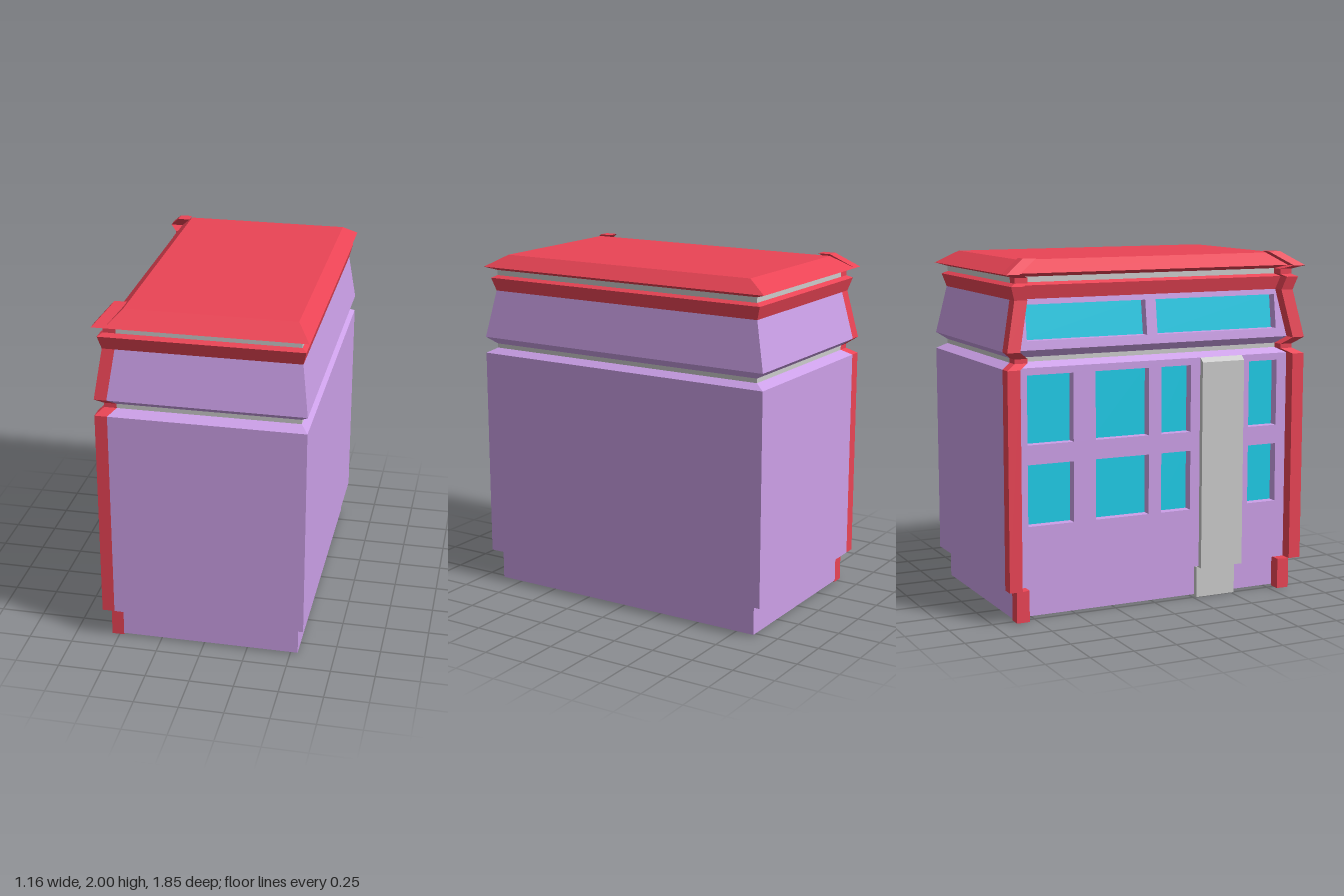
import * as THREE from 'three';

const material = (color) => new THREE.MeshStandardMaterial({ color, flatShading: true, side: THREE.DoubleSide });
const PURPLE = material(0xcca0e8), RED = material(0xea4455), TEAL = material(0x1eccE8), GREY = material(0xcccccc);

const INSET = 0.07;        // facade sits this far behind the corner pilasters
const PILASTER_Z = 0.075;

// Storey profile: height, half width, half depth, then the strip above that height
const LEVELS = [
  [0.01, 0.543, 0.87, 'base', PURPLE],
  [0.18, 0.543, 0.87, 'baseLedge', PURPLE],
  [0.187, 0.58, 0.925, 'mainWall', PURPLE],
  [1.41, 0.58, 0.925, 'lowerSlope', PURPLE],
  [1.44, 0.54, 0.868, 'middleBand', GREY],
  [1.465, 0.54, 0.868, 'upperLedge', PURPLE],
  [1.505, 0.58, 0.925, 'upperWall', PURPLE],
  [1.78, 0.542, 0.866, 'cornice', RED],
  [1.855, 0.56, 0.89, 'corniceTop', RED],
  [1.87, 0.535, 0.86, 'roofBand', GREY],
  [1.9, 0.535, 0.86, 'roofEaves', RED],
  [1.92, 0.58, 0.925, 'roofSlope', RED],
  [1.99, 0.505, 0.8],
];

// Openings in the facade: z0, z1, y0, y1
const COLUMNS = [[-0.785, -0.51], [-0.376, -0.046], [0.033, 0.22], [0.6, 0.786]];
const ROWS = [[0.53, 0.875], [0.985, 1.37]];
const OPENINGS = {
  mainWall: ROWS.flatMap((r) => COLUMNS.map((c) => [...c, ...r])),
  upperWall: [[-0.78, -0.055, 1.555, 1.75], [0.01, 0.78, 1.555, 1.75]],
};

// Mesh from a list of four-cornered faces
function quadMesh(name, mat, quads) {
  const pos = [];
  for (const [a, b, c, d] of quads) pos.push(...a, ...b, ...c, ...a, ...c, ...d);
  const geo = new THREE.BufferGeometry();
  geo.setAttribute('position', new THREE.Float32BufferAttribute(pos, 3));
  geo.computeVertexNormals();
  const mesh = new THREE.Mesh(geo, mat);
  mesh.name = name;
  return mesh;
}

// Quads joining two rings of points
function joinRings(lower, upper, closed) {
  const quads = [], n = lower.length;
  for (let i = 0; i < (closed ? n : n - 1); i++) {
    const j = (i + 1) % n;
    quads.push([lower[i], lower[j], upper[j], upper[i]]);
  }
  return quads;
}

const bodyRing = ([y, hx, hz]) =>
  [[INSET - hx, y, hz], [hx, y, hz], [hx, y, -hz], [INSET - hx, y, -hz]];

// Facade wall with holes, leaned along the profile between two levels
function facade(lo, hi, openings) {
  const group = new THREE.Group();
  group.name = lo[3] + 'Facade';
  const xAt = (y) => INSET - THREE.MathUtils.mapLinear(y, lo[0], hi[0], lo[1], hi[1]);
  const shape = new THREE.Shape([[-lo[2], lo[0]], [lo[2], lo[0]], [hi[2], hi[0]], [-hi[2], hi[0]]]
    .map((p) => new THREE.Vector2(...p)));
  for (const [z0, z1, y0, y1] of openings) {
    shape.holes.push(new THREE.Path([[z0, y0], [z0, y1], [z1, y1], [z1, y0]]
      .map((p) => new THREE.Vector2(...p))));
  }
  const geo = new THREE.ShapeGeometry(shape);
  const p = geo.attributes.position;
  for (let i = 0; i < p.count; i++) p.setXYZ(i, xAt(p.getY(i)), p.getY(i), p.getX(i));
  geo.computeVertexNormals();
  const wall = new THREE.Mesh(geo, PURPLE);
  wall.name = 'facadeWall';
  group.add(wall);

  // Recessed windows
  for (const [z0, z1, y0, y1] of openings) {
    const ring = (d) => [[z0, y0], [z1, y0], [z1, y1], [z0, y1]].map(([z, y]) => [xAt(y) + d, y, z]);
    const back = ring(0.055);
    group.add(quadMesh('windowReveal', PURPLE, joinRings(ring(0), back, true)));
    group.add(quadMesh('windowPane', TEAL, [back]));
  }
  return group;
}

// Corner pilaster following the whole profile; side is +1 or -1 in z
function pilaster(side) {
  const rings = LEVELS.map(([y, hx, hz], i) => {
    const h = i === 0 ? 0 : i === LEVELS.length - 1 ? 2 : y;
    const r = [[-hx, h, hz], [INSET - hx, h, hz], [INSET - hx, h, hz - PILASTER_Z], [-hx, h, hz - PILASTER_Z]]
      .map(([x, yy, z]) => [x, yy, z * side]);
    return side > 0 ? r : r.reverse();
  });
  const quads = rings.slice(1).flatMap((r, i) => joinRings(rings[i], r, true));
  quads.push(rings[rings.length - 1], [...rings[0]].reverse());
  return quadMesh('cornerPilaster', RED, quads);
}

// Door column: a bevelled shaft on a set-back foot
function doorColumn() {
  const group = new THREE.Group();
  group.name = 'doorColumn';
  const profile = new THREE.Shape([[-0.45, 0.18], [-0.45, 1.41], [-0.51, 1.41], [-0.54, 1.385], [-0.54, 0.18]]
    .map((p) => new THREE.Vector2(...p)));
  const shaft = new THREE.Mesh(new THREE.ExtrudeGeometry(profile, { depth: 0.27, bevelEnabled: false }), GREY);
  shaft.name = 'doorShaft';
  shaft.position.z = 0.28;
  const foot = new THREE.Mesh(new THREE.BoxGeometry(0.085, 0.18, 0.25), GREY);
  foot.name = 'doorFoot';
  foot.position.set(-0.4625, 0.09, 0.395);
  group.add(shaft, foot);
  return group;
}

export function createModel() {
  const model = new THREE.Group();
  model.name = 'building';

  // Storeys, with the windowed facade facing -x
  for (let i = 0; i < LEVELS.length - 1; i++) {
    const lo = LEVELS[i], hi = LEVELS[i + 1], openings = OPENINGS[lo[3]];
    model.add(quadMesh(lo[3], lo[4], joinRings(bodyRing(lo), bodyRing(hi), !openings)));
    if (openings) model.add(facade(lo, hi, openings));
  }

  // Flat roof
  model.add(quadMesh('roofTop', RED, [bodyRing(LEVELS[LEVELS.length - 1])]));

  model.add(pilaster(1), pilaster(-1), doorColumn());
  return model;
}
